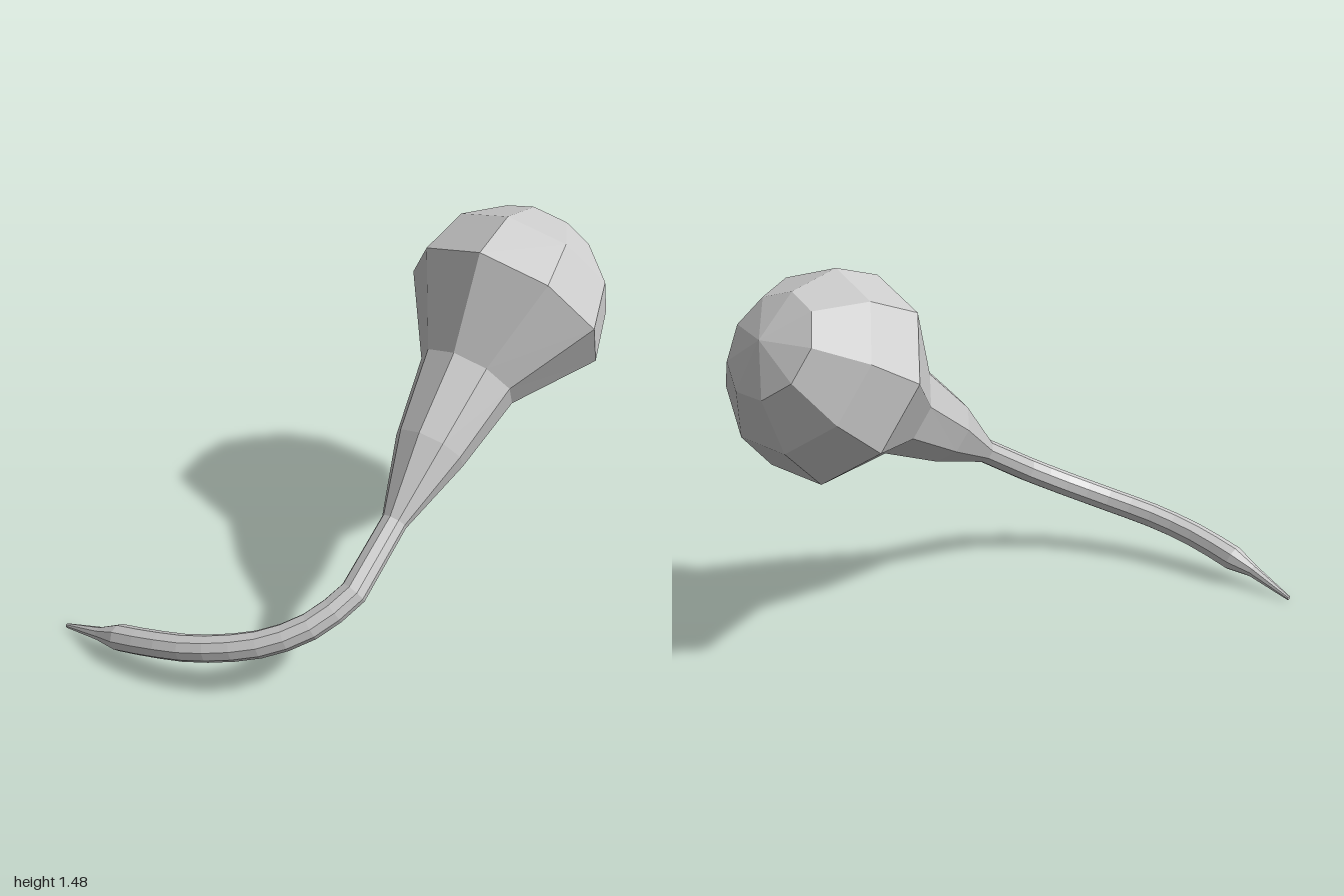
import * as THREE from 'three';

const SIDES = 9;
const V = (x, y, z) => new THREE.Vector3(x, y, z);

// Skins a row of rings ({ c: centre, r: radius }) with a frame carried along the path
function loft(rings) {
  const n = rings.length;
  const dir = (a, b) => rings[b].c.clone().sub(rings[a].c).normalize();
  const up = V(0, 1, 0);
  const pos = [], index = [];
  rings.forEach(({ c, r }, i) => {
    const t = V(0, 0, 0);
    if (i > 0) t.add(dir(i - 1, i));
    if (i < n - 1) t.add(dir(i, i + 1));
    t.normalize();
    up.addScaledVector(t, -up.dot(t)).normalize();
    const side = t.clone().cross(up);
    for (let j = 0; j < SIDES; j++) {
      const a = (j / SIDES) * Math.PI * 2;
      const p = c.clone().addScaledVector(up, r * Math.cos(a)).addScaledVector(side, r * Math.sin(a));
      pos.push(p.x, p.y, p.z);
    }
  });
  for (let i = 0; i < n - 1; i++) {
    for (let j = 0; j < SIDES; j++) {
      const k = (j + 1) % SIDES;
      const a = i * SIDES + j, b = i * SIDES + k, d = a + SIDES, e = b + SIDES;
      if (rings[i].r > 0) index.push(a, b, e);
      if (rings[i + 1].r > 0) index.push(a, e, d);
      else if (rings[i].r === 0) index.push(a, b, e);
    }
  }
  const g = new THREE.BufferGeometry();
  g.setAttribute('position', new THREE.Float32BufferAttribute(pos, 3));
  g.setIndex(index);
  g.computeVertexNormals();
  return g;
}

export function createModel() {
  const group = new THREE.Group();
  const rings = [];

  // Rounded head: half a sphere in 30 degree steps, from the pole to its widest ring
  const headCentre = V(0.23, 1.09, -0.6);
  const headAxis = V(-0.11, 0.55, -0.83).normalize();
  const R = 0.4;
  for (let i = 0; i <= 3; i++) {
    const a = (i * Math.PI) / 6;
    rings.push({
      c: headCentre.clone().addScaledVector(headAxis, R * Math.cos(a)),
      r: i === 0 ? 0 : R * Math.sin(a),
    });
  }

  // Tapering neck
  rings.push({ c: V(0.265, 0.917, -0.335), r: 0.195 });
  rings.push({ c: V(0.305, 0.745, -0.075), r: 0.14 });
  rings.push({ c: V(0.35, 0.57, 0.175), r: 0.05 });

  // Curved tail of even thickness
  const curve = new THREE.CatmullRomCurve3([
    V(0.38, 0.41, 0.43), V(0.33, 0.33, 0.57), V(0.21, 0.255, 0.715),
    V(0.0, 0.19, 0.85), V(-0.18, 0.145, 0.912), V(-0.345, 0.1, 0.945),
  ]);
  for (const c of curve.getSpacedPoints(10)) rings.push({ c, r: 0.052 });

  // Pointed tail end
  rings.push({ c: V(-0.44, 0.073, 0.963), r: 0.027 });
  rings.push({ c: V(-0.625, 0.015, 0.978), r: 0.009 });
  rings.push({ c: V(-0.63, 0.014, 0.978), r: 0 });

  const body = new THREE.Mesh(
    loft(rings),
    new THREE.MeshStandardMaterial({ color: 0xcccccc, flatShading: true }),
  );
  body.name = 'headAndTail';
  group.add(body);
  return group;
}
